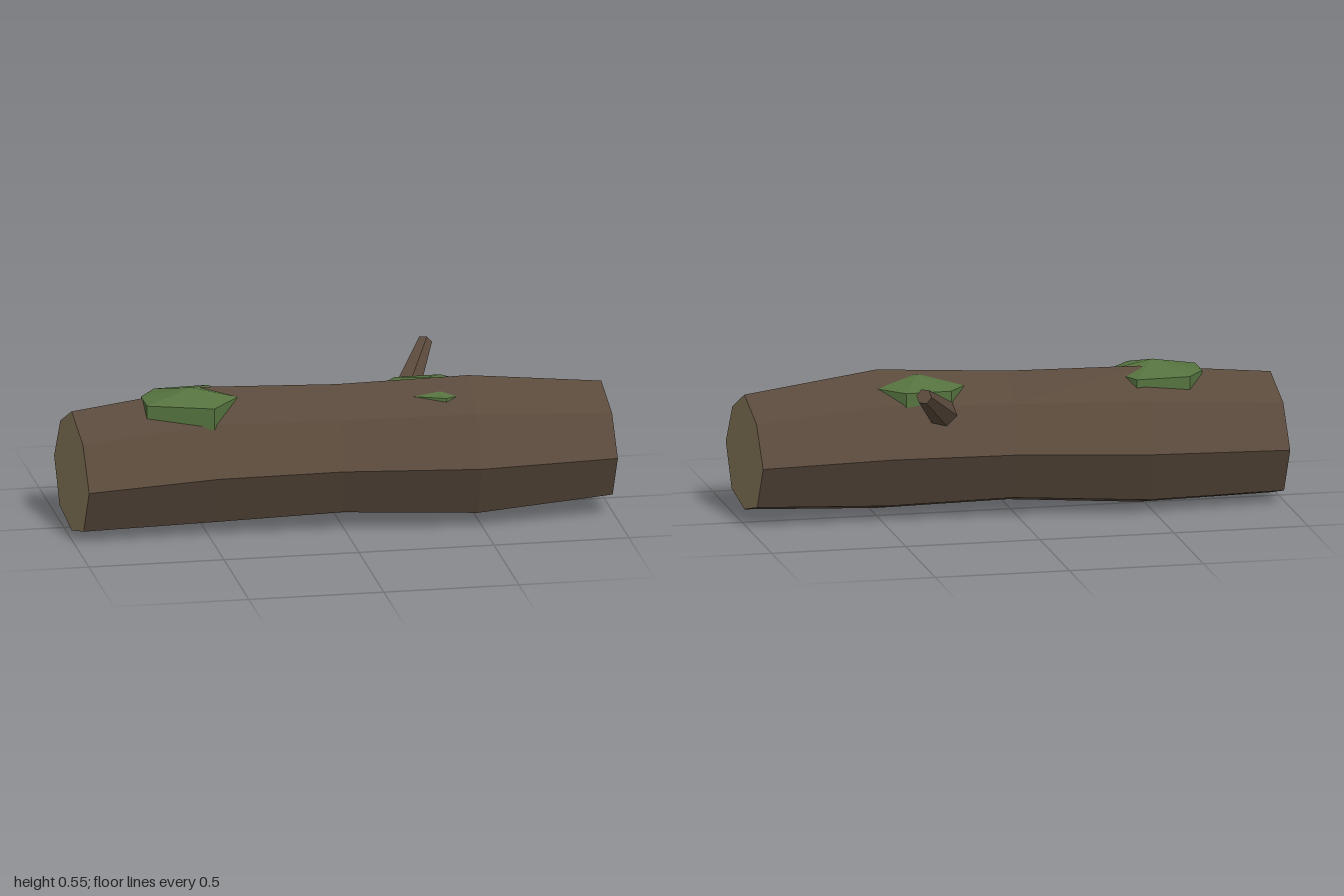
import * as THREE from 'three';

const mat = (name, color) => Object.assign(new THREE.MeshStandardMaterial({ color, flatShading: true }), { name });

// Skin between cross-sections (each turning right-handed about the axis), with optional closing fans
function loft(rings, startTip, endTip) {
  const pos = [];
  const tri = (...pts) => pts.forEach((p) => pos.push(p.x, p.y, p.z));
  const n = rings[0].length;
  const last = rings[rings.length - 1];
  for (let i = 0; i < n; i++) {
    const k = (i + 1) % n;
    for (let j = 0; j + 1 < rings.length; j++) {
      const a = rings[j], b = rings[j + 1];
      tri(a[i], a[k], b[i]);
      tri(a[k], b[k], b[i]);
    }
    if (startTip) tri(rings[0][k], rings[0][i], startTip);
    if (endTip) tri(last[i], last[k], endTip);
  }
  const geo = new THREE.BufferGeometry();
  geo.setAttribute('position', new THREE.Float32BufferAttribute(pos, 3));
  geo.computeVertexNormals();
  return geo;
}

export function createModel() {
  const group = new THREE.Group();
  group.name = 'mossyLog';
  const bark = mat('bark', 0x5a4a3c);
  const cutWood = mat('cutWood', 0x8b7a5c);
  const moss = mat('moss', 0x55733f);
  const add = (name, geo, material) => {
    const mesh = new THREE.Mesh(geo, material);
    mesh.name = name;
    group.add(mesh);
    return mesh;
  };

  // Trunk: eight-sided sections along x as [x, y, z, radius, tilt]
  const sections = [
    [-0.98, 0.222, 0.045, 0.245, 0.08],
    [-0.48, 0.247, 0.008, 0.275, 0],
    [0, 0.258, 0.05, 0.26, -0.08],
    [0.48, 0.258, 0.09, 0.28, 0],
    [0.98, 0.245, 0.053, 0.232, 0.08],
  ];
  const lumps = [0.98, 0.915, 1, 0.97, 0.87, 0.97, 1, 0.915];
  const rings = sections.map(([x, y, z, r, tilt]) => lumps.map((m, i) => {
    const a = (i / 8) * Math.PI * 2;
    const dz = Math.sin(a) * r * m;
    return new THREE.Vector3(x + dz * tilt, y + Math.cos(a) * r * m, z + dz);
  }));
  add('trunk', loft(rings), bark);

  // Sawn ends
  const centre = (s) => new THREE.Vector3(s[0], s[1], s[2]);
  add('rightEnd', loft([rings[0]], centre(sections[0]), null), cutWood);
  add('leftEnd', loft([rings[4]], null, centre(sections[4])), cutWood);

  // Broken branch stub leaning up and back
  const from = new THREE.Vector3(0.25, 0.375, -0.05);
  const to = new THREE.Vector3(0.4, 0.53, -0.354);
  const dir = to.clone().sub(from);
  const branch = add('branch', new THREE.CylinderGeometry(0.029, 0.06, dir.length(), 6), bark);
  branch.position.copy(from).add(to).multiplyScalar(0.5);
  branch.quaternion.setFromUnitVectors(new THREE.Vector3(0, 1, 0), dir.normalize());

  // Moss clumps: low faceted domes sunk into the bark
  function addMoss(name, x, z, rimY, topY, outline) {
    const rim = (y) => outline.map(([dx, dz]) => new THREE.Vector3(x + dx, y, z + dz));
    add(name, loft([rim(rimY - 0.08), rim(rimY)],
      new THREE.Vector3(x, rimY - 0.12, z), new THREE.Vector3(x, topY, z)), moss);
  }
  addMoss('rightMoss', -0.54, 0.05, 0.49, 0.53,
    [[0.06, 0.15], [0.17, 0.02], [0.09, -0.15], [-0.11, -0.14], [-0.175, -0.05], [-0.175, 0.07]]);
  addMoss('leftMoss', 0.34, 0.04, 0.482, 0.518,
    [[0.04, 0.16], [0.1, 0.13], [0.16, -0.04], [0.07, -0.14], [-0.1, -0.135], [-0.16, -0.06], [-0.16, 0.08]]);

  return group;
}
